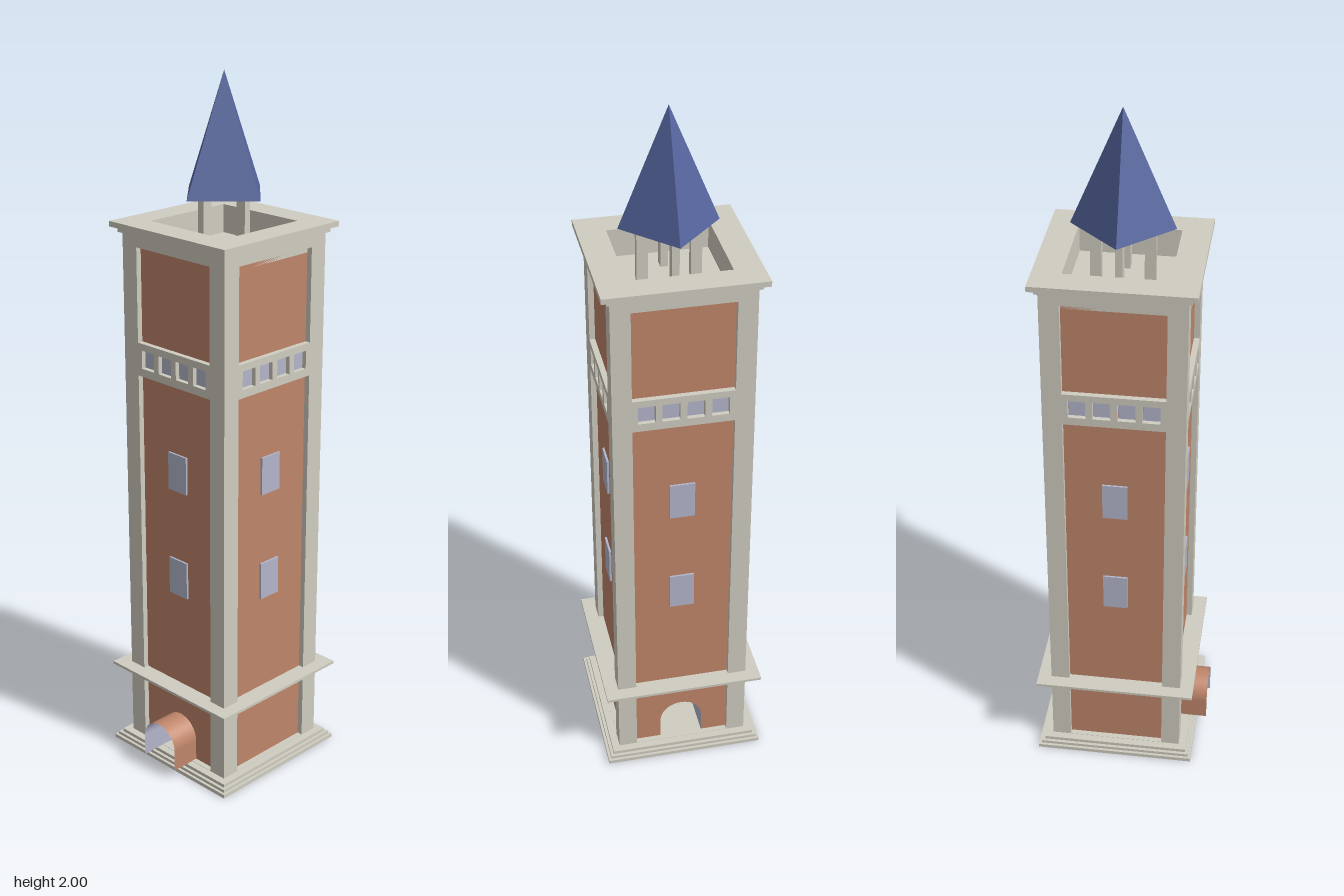
import * as THREE from 'three';

const mat = (color, extra = {}) => new THREE.MeshStandardMaterial({ color, ...extra });
const CX = 0.014;                 // tower axis
const OUT = 0.193, IN = 0.177;    // pilaster face and brick face, from the axis

export function createModel() {
  const stone = mat(0xd0cdc0), brick = mat(0xc0866a), glass = mat(0xb4b6cc);
  const slate = mat(0x55659e, { flatShading: true });
  const model = new THREE.Group();
  const tower = new THREE.Group();
  tower.name = 'tower';
  tower.position.x = CX;
  model.add(tower);

  const add = (name, geo, material, parent = tower) => {
    const mesh = new THREE.Mesh(geo, material);
    mesh.name = name;
    parent.add(mesh);
    return mesh;
  };
  const rect = (x0, y0, x1, y1, Type = THREE.Path) => new Type(
    [[x0, y0], [x1, y0], [x1, y1], [x0, y1]].map(p => new THREE.Vector2(...p)));
  const extrude = (shape, depth) =>
    new THREE.ExtrudeGeometry(shape, { depth, bevelEnabled: false, curveSegments: 16 });

  // Square slab, optionally with a square well through it
  const slab = (name, half, y0, y1, well = 0) => {
    const shape = rect(-half, -half, half, half, THREE.Shape);
    if (well) shape.holes.push(rect(-well, -well, well, well));
    const geo = extrude(shape, y1 - y0).rotateX(-Math.PI / 2).translate(0, y0, 0);
    return add(name, geo, stone);
  };

  // Arch outline shared by the doorway and its vault
  const R = 0.063, SPRING = 0.093, FLOOR = 0.03;
  const archPath = Type => {
    const p = new Type();
    p.moveTo(R, FLOOR);
    p.lineTo(R, SPRING);
    p.absarc(0, SPRING, R, 0, Math.PI, false);
    p.lineTo(-R, FLOOR);
    return p;
  };

  // Four walls: stone frame in front of a brick sheet, with window panes
  const P = 0.139;
  const rowX = [-0.1, -0.0335, 0.0335, 0.1];
  ['front', 'left', 'back', 'right'].forEach((label, i) => {
    const wall = new THREE.Group();
    wall.name = label + 'Wall';
    wall.rotation.y = i * Math.PI / 2;
    tower.add(wall);
    const doorway = i % 2 === 1;
    const half = doorway ? IN : OUT;

    const frame = rect(-half, FLOOR, half, 1.57, THREE.Shape);
    for (const [y0, y1] of [[0.031, 0.24], [0.26, 1.175], [1.27, 1.537]])
      frame.holes.push(rect(-P, y0, P, y1));
    for (const x of rowX) frame.holes.push(rect(x - 0.024, 1.198, x + 0.024, 1.25));
    add('stoneFrame', extrude(frame, OUT - IN).translate(0, 0, IN), stone, wall);

    const sheet = doorway
      ? new THREE.Shape([[R, FLOOR], [IN, FLOOR], [IN, 1.56], [-IN, 1.56], [-IN, FLOOR],
        ...archPath(THREE.Path).getPoints(16).reverse().map(p => [p.x, p.y])]
        .map(p => new THREE.Vector2(...p)))
      : rect(-IN, FLOOR, IN, 1.56, THREE.Shape);
    add('brickWall', new THREE.ShapeGeometry(sheet).translate(0, 0, IN), brick, wall);

    for (const y of [0.6, 0.92])
      add('window', new THREE.BoxGeometry(0.07, 0.11, 0.012).translate(0, y, IN), glass, wall);
    for (const x of rowX)
      add('smallWindow', new THREE.BoxGeometry(0.046, 0.05, 0.008).translate(x, 1.224, IN), glass, wall);
  });

  // Stepped base, belt course and top cornice
  slab('baseStep', 0.232, 0, 0.011);
  slab('baseStep', 0.224, 0.011, 0.02);
  slab('baseStep', 0.215, 0.02, FLOOR);
  slab('beltCourse', 0.207, 0.238, 0.246);
  slab('beltCourse', 0.218, 0.246, 0.253);
  slab('beltCourse', 0.232, 0.253, 0.261);
  slab('parapet', IN, 1.52, 1.57, P);
  slab('cornice', 0.202, 1.57, 1.585, P);
  slab('cornice', 0.218, 1.585, 1.6, P);
  slab('terraceFloor', IN - 0.005, 1.51, 1.52);

  // Barrel vault passing through the tower and out on one side
  const x0 = -0.25 - CX, x1 = IN;
  const pts = archPath(THREE.Path).getPoints(20);
  const pos = [], index = [];
  pts.forEach((p, i) => {
    pos.push(x0, p.y, p.x, x1, p.y, p.x);
    if (i) {
      const a = 2 * (i - 1);
      index.push(a, a + 1, a + 2, a + 1, a + 3, a + 2);
    }
  });
  const vault = new THREE.BufferGeometry();
  vault.setAttribute('position', new THREE.Float32BufferAttribute(pos, 3));
  vault.setIndex(index);
  vault.computeVertexNormals();
  add('vaultOutside', vault, brick);
  add('vaultInside', vault, mat(0xb4b6cc, { side: THREE.BackSide }));

  // Lantern posts and spire
  for (let i = 0; i < 4; i++) {
    const post = add('lanternPost', new THREE.BoxGeometry(0.02, 0.16, 0.03).translate(0, 1.6, 0.072), stone);
    post.rotation.y = i * Math.PI / 2;
  }
  const spire = add('spire', new THREE.ConeGeometry(0.139, 0.325, 4), slate);
  spire.scale.z = 0.965;
  spire.position.y = 1.8375;

  return model;
}
